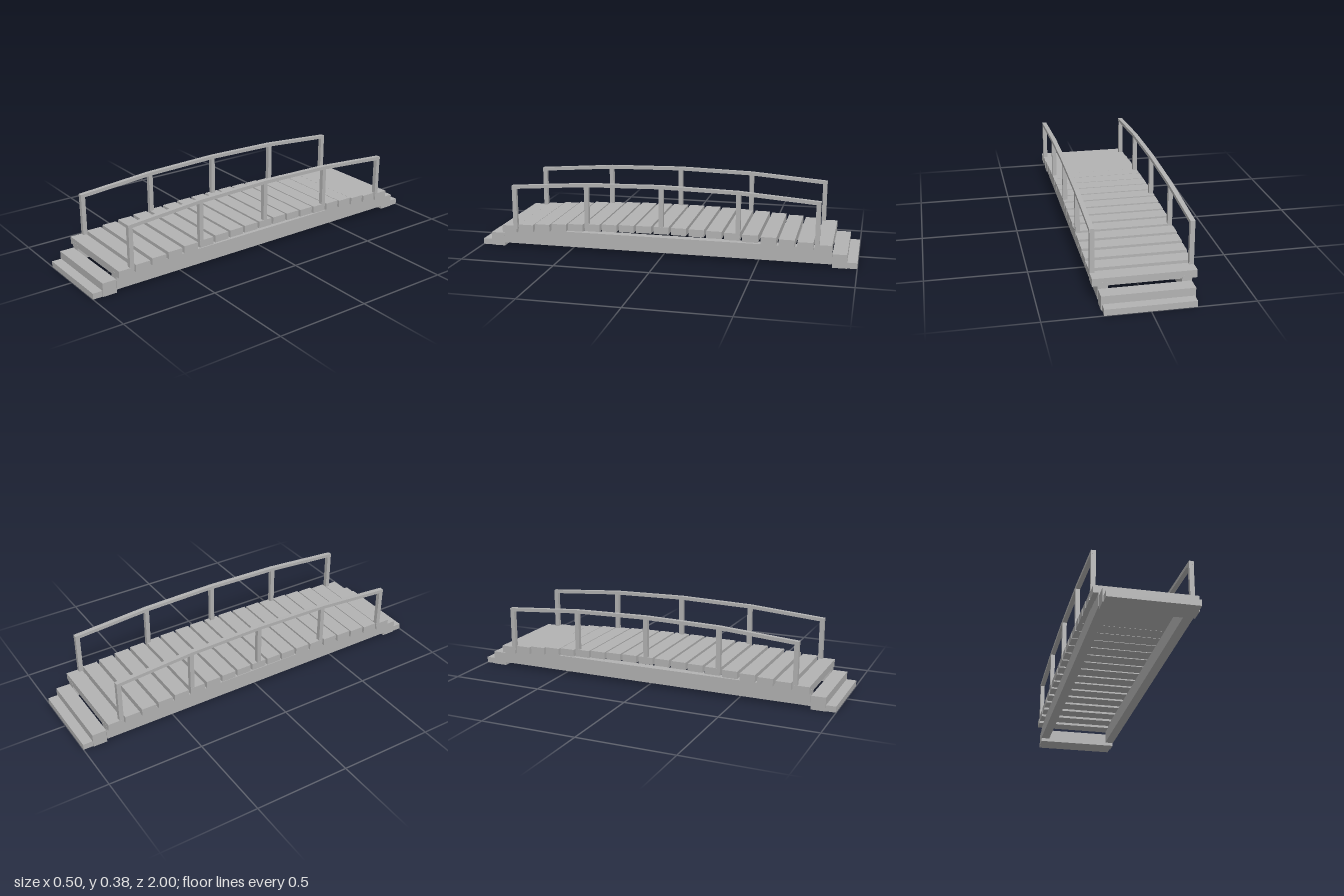
import * as THREE from 'three';

export function createModel() {
  const bridge = new THREE.Group();
  bridge.name = 'footbridge';
  const wood = new THREE.MeshStandardMaterial({ color: 0xb2b2b2 });
  wood.name = 'plain grey';

  // Box given by its lower and upper limits on each axis
  function box(name, [x0, x1], [y0, y1], [z0, z1]) {
    const mesh = new THREE.Mesh(new THREE.BoxGeometry(x1 - x0, y1 - y0, z1 - z0), wood);
    mesh.position.set((x0 + x1) / 2, (y0 + y1) / 2, (z0 + z1) / 2);
    mesh.name = name;
    bridge.add(mesh);
  }

  // Deck planks, each level, following a shallow arch
  const pitch = 0.0926;
  const deckTop = (z) => 0.164 - 0.042 * (z / (9 * pitch)) ** 2;
  for (let i = -9; i <= 9; i++) {
    const z = i * pitch, top = deckTop(z);
    box('deckPlank', [-0.248, 0.248], [top - 0.038, top], [z - 0.04, z + 0.04]);
  }

  // Two entry steps at each end
  for (const s of [1, -1]) {
    const span = (a, b) => [a * s, b * s].sort((p, q) => p - q);
    box('lowerStep', [-0.216, 0.216], [0, 0.031], span(0.949, 1));
    box('upperStep', [-0.221, 0.221], [0, 0.071], span(0.875, 0.949));
  }

  // Handrail outline: straight runs between the post tops
  const railTop = [[-0.812, 0.342], [-0.4, 0.373], [0, 0.382], [0.4, 0.373], [0.812, 0.342]];
  const railThick = 0.018;
  const outline = [
    ...railTop,
    ...railTop.map(([z, y]) => [z, y - railThick]).reverse(),
  ].map(([z, y]) => new THREE.Vector2(z, y));
  const railGeometry = new THREE.ExtrudeGeometry(new THREE.Shape(outline), {
    depth: 0.024, bevelEnabled: false,
  }).translate(0, 0, -0.012).rotateY(Math.PI / 2);

  // Stringer, posts and handrail on each side
  for (const s of [1, -1]) {
    const span = (a, b) => [a * s, b * s].sort((p, q) => p - q);
    box('stringer', span(0.175, 0.223), [0.018, 0.1], [-0.874, 0.874]);
    railTop.forEach(([, y], i) => {
      const z = (i - 2) * 0.4;
      box('railPost', span(0.2245, 0.2475), [deckTop(z) - 0.02, y - 0.01], [z - 0.0115, z + 0.0115]);
    });
    const rail = new THREE.Mesh(railGeometry, wood);
    rail.name = 'handrail';
    rail.position.x = s * 0.236;
    bridge.add(rail);
  }

  return bridge;
}
